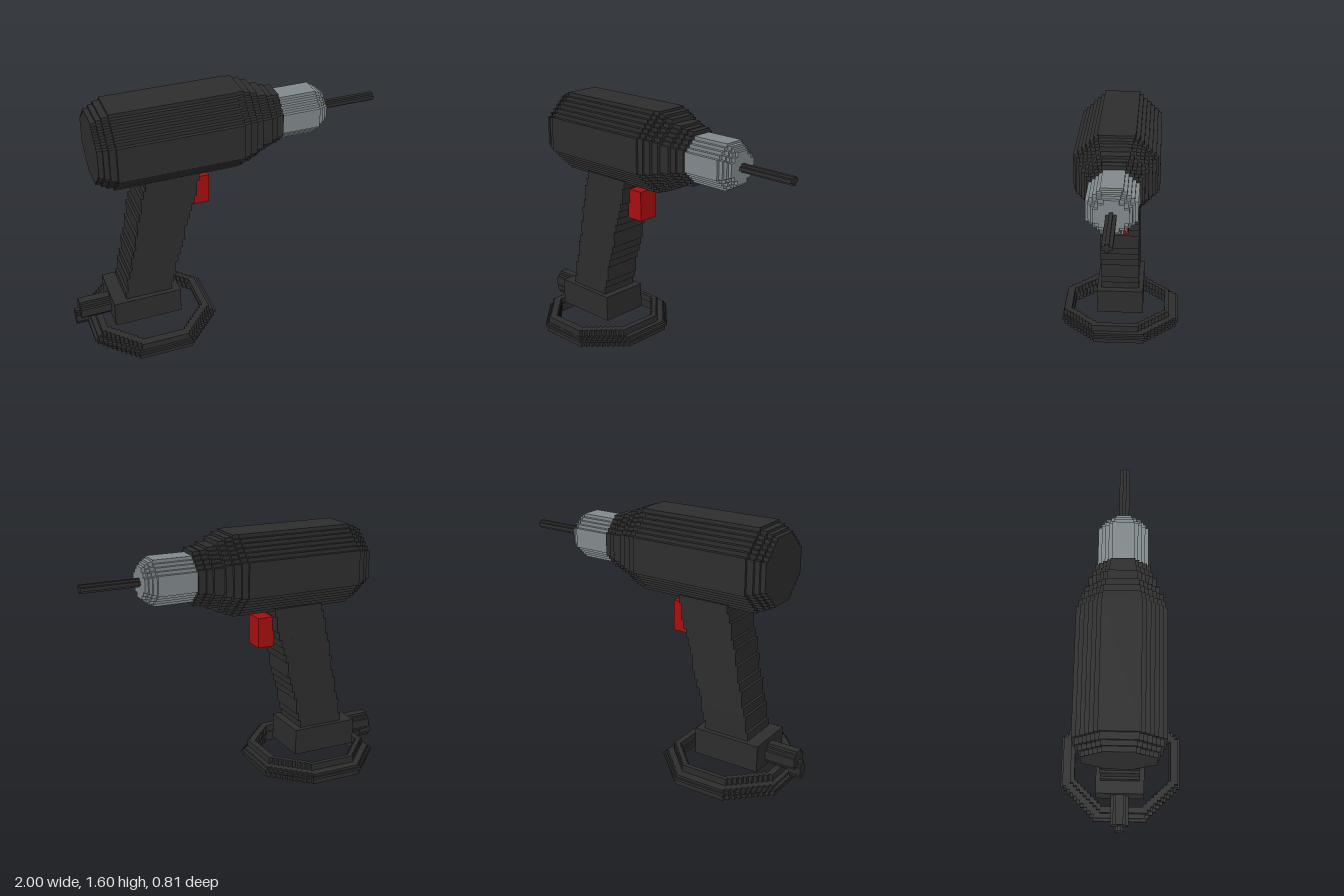
import * as THREE from 'three';

const CELL = 0.0235;   // size of one stair step
const AXIS_Y = 1.345;  // height of the drill axis

// Octagon outline whose slanted corners are cut into small stairs
function steppedOctagon(hx, hy, cx = 0, cy = 0) {
  const f = 0.44;
  const n = Math.max(2, Math.round((1 - f) * Math.max(hx, hy) / CELL));
  const q = [];
  for (let i = 0; i <= n; i++) {
    const t = i / n;
    const y = hy * (f + (1 - f) * t);
    q.push([hx * (1 - (1 - f) * t), y]);
    if (i < n) q.push([hx * (1 - (1 - f) * (i + 1) / n), y]);
  }
  const mirror = (sx, sy) => q.map(([x, y]) => [x * sx, y * sy]);
  const all = [...q, ...mirror(-1, 1).reverse(), ...mirror(-1, -1), ...mirror(1, -1).reverse()];
  return all.map(([x, y]) => new THREE.Vector2(x + cx, y + cy));
}

export function createModel() {
  const model = new THREE.Group();
  const flat = (name, color) => {
    const m = new THREE.MeshStandardMaterial({ color });
    m.name = name;
    return m;
  };
  const black = flat('black plastic', 0x2d2d2d);
  const steel = flat('grey steel', 0x81898c);
  const red = flat('red', 0xa80e0e);

  const group = (name) => {
    const g = new THREE.Group();
    g.name = name;
    model.add(g);
    return g;
  };
  const add = (parent, name, geometry, material) => {
    const m = new THREE.Mesh(geometry, material);
    m.name = name;
    parent.add(m);
    return m;
  };
  const box = (parent, name, material, x0, x1, y0, y1, hz) => {
    const m = add(parent, name, new THREE.BoxGeometry(x1 - x0, y1 - y0, hz * 2), material);
    m.position.set((x0 + x1) / 2, (y0 + y1) / 2, 0);
    return m;
  };
  // Stepped octagon running along x
  const barrel = (parent, name, material, x0, x1, hy, hz, y = AXIS_Y) => {
    const g = new THREE.ExtrudeGeometry(new THREE.Shape(steppedOctagon(hz, hy)), { depth: x1 - x0, bevelEnabled: false });
    g.rotateY(Math.PI / 2);
    add(parent, name, g, material).position.set(x0, y, 0);
  };

  // Motor housing: end x, half height, half width of each slice
  const housing = group('motorHousing');
  let x = -0.81;
  for (const [end, hy, hz] of [
    [-0.78, 0.203, 0.21], [-0.75, 0.218, 0.225], [-0.71, 0.233, 0.243],
    [0.05, 0.25, 0.26], [0.09, 0.25, 0.247], [0.135, 0.235, 0.235],
    [0.18, 0.217, 0.215], [0.245, 0.187, 0.195], [0.285, 0.17, 0.175], [0.33, 0.165, 0.16],
  ]) {
    barrel(housing, 'housingSlice', black, x, end, hy, hz);
    x = end;
  }

  // Chuck
  const chuck = group('chuck');
  for (const [end, hy, hz] of [[0.575, 0.139, 0.147], [0.6, 0.126, 0.13], [0.62, 0.113, 0.116], [0.64, 0.096, 0.1]]) {
    barrel(chuck, 'chuckSlice', steel, x, end, hy, hz);
    x = end;
  }

  // Bit with a cross section
  const bit = group('drillBit');
  box(bit, 'bitUpright', black, 0.63, 1, AXIS_Y - 0.025, AXIS_Y + 0.025, 0.011);
  box(bit, 'bitCrosswise', black, 0.63, 1, AXIS_Y - 0.011, AXIS_Y + 0.011, 0.03);

  // Slanted grip made of stacked layers
  const grip = group('grip');
  const layers = 16, low = 0.28, h = (1.11 - low) / layers;
  const snap = (v) => Math.round(v / 0.0165) * 0.0165;
  for (let i = 0; i < layers; i++) {
    const t = i / (layers - 1);
    box(grip, 'gripLayer', black, -0.69 + snap(0.16 * t), -0.39 + snap(0.2 * t), low + i * h, low + (i + 1) * h, 0.13);
  }

  // Trigger
  box(model, 'trigger', red, -0.22, -0.11, 0.85, 1.043, 0.066);

  // Battery block and the rear connector holding the ring
  box(model, 'batteryBlock', black, -0.775, -0.34, 0.11, 0.28, 0.16);
  const connector = group('rearConnector');
  barrel(connector, 'connectorArm', black, -0.97, -0.77, 0.065, 0.06, 0.182);
  barrel(connector, 'connectorHook', black, -1, -0.92, 0.055, 0.032, 0.125);

  // Octagonal foot ring: y range, outer half sizes, inner half sizes, z offsets
  const ring = group('footRing');
  for (const [y0, y1, ox, oz, ix, iz, oc, ic] of [
    [0, 0.035, 0.39, 0.393, 0.335, 0.335, 0, 0],
    [0.035, 0.052, 0.404, 0.405, 0.33, 0.33, 0, 0],
    [0.052, 0.068, 0.385, 0.393, 0.33, 0.33, 0, 0],
    [0.068, 0.112, 0.355, 0.365, 0.315, 0.325, 0.026, 0.015],
  ]) {
    const shape = new THREE.Shape(steppedOctagon(ox, oz, 0, -oc));
    shape.holes.push(new THREE.Path(steppedOctagon(ix, iz, 0, -ic).reverse()));
    const g = new THREE.ExtrudeGeometry(shape, { depth: y1 - y0, bevelEnabled: false });
    g.rotateX(-Math.PI / 2);
    add(ring, 'ringLayer', g, black).position.set(-0.515, y0, 0);
  }

  return model;
}
